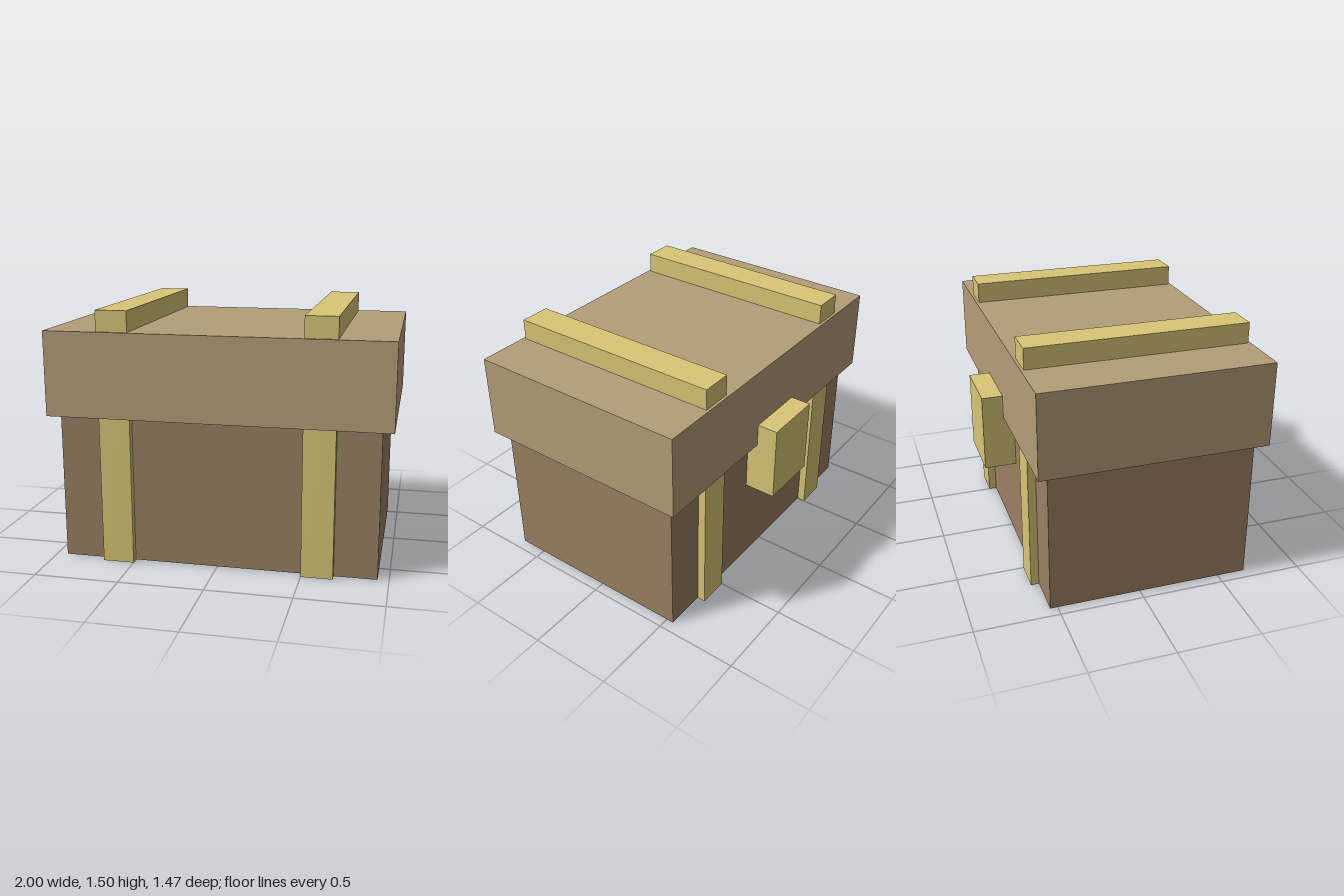
import * as THREE from 'three';

const mat = (color) => new THREE.MeshStandardMaterial({ color });

// Box given by its [min, max] extents on each axis
function block(name, [x0, x1], [y0, y1], [z0, z1], material) {
  const mesh = new THREE.Mesh(new THREE.BoxGeometry(x1 - x0, y1 - y0, z1 - z0), material);
  mesh.position.set((x0 + x1) / 2, (y0 + y1) / 2, (z0 + z1) / 2);
  mesh.name = name;
  return mesh;
}

export function createModel() {
  const group = new THREE.Group();
  group.name = 'chest';
  const bodyWood = mat(0x9b8062);
  const lidWood = mat(0xb59e78);
  const brass = mat(0xd9c676);

  // Chest body and the wider lid that overhangs it
  group.add(block('body', [-0.935, 0.935], [0.006, 0.9], [-0.545, 0.67], bodyWood));
  group.add(block('lid', [-1, 1], [0.88, 1.38], [-0.61, 0.73], lidWood));

  // Bands running around the chest, standing proud of body and lid top
  group.add(block('rightBand', [-0.685, -0.5], [0.004, 1.503], [-0.593, 0.715], brass));
  group.add(block('leftBand', [0.5, 0.685], [0.004, 1.503], [-0.593, 0.715], brass));

  // Latch across the lid seam at the back
  group.add(block('latch', [-0.187, 0.187], [0.555, 1.02], [-0.735, -0.54], brass));

  return group;
}
